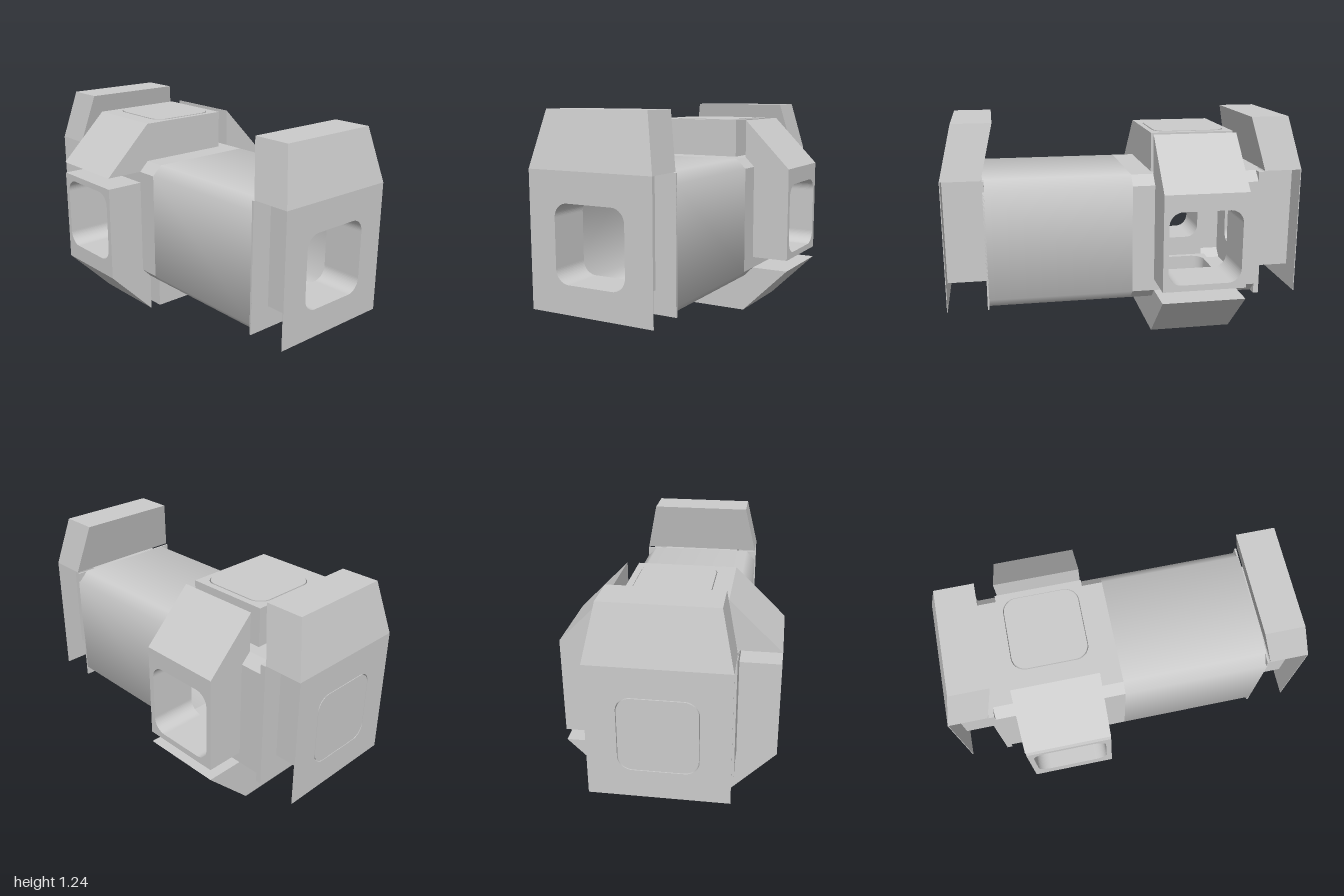
import * as THREE from 'three';

const R = 0.36;       // half width of the hull
const FLAT = 0.305;   // half width of each flat side between the chamfers
const OUT = 0.577;    // distance from the axis to a side port face
const PORT_X = -0.39; // centre of the four side ports
const HUB = [-0.75, -0.03];

const grey = new THREE.MeshStandardMaterial({ color: 0xcccccc, side: THREE.DoubleSide });

function add(parent, name, geometry) {
  const mesh = new THREE.Mesh(geometry, grey);
  mesh.name = name;
  parent.add(mesh);
  return mesh;
}

// Rounded square outline, used for hatch openings and hatch panels
function roundedSquare(path, cx, h = 0.205, r = 0.075) {
  path.moveTo(cx - h + r, -h);
  path.lineTo(cx + h - r, -h);
  path.absarc(cx + h - r, -h + r, r, -Math.PI / 2, 0);
  path.lineTo(cx + h, h - r);
  path.absarc(cx + h - r, h - r, r, 0, Math.PI / 2);
  path.lineTo(cx - h + r, h);
  path.absarc(cx - h + r, h - r, r, Math.PI / 2, Math.PI);
  path.lineTo(cx - h, -h + r);
  path.absarc(cx - h + r, -h + r, r, Math.PI, Math.PI * 1.5);
  path.closePath();
  return path;
}

function extrude(shape, z0, z1) {
  const g = new THREE.ExtrudeGeometry(shape, { depth: z1 - z0, bevelEnabled: false, curveSegments: 8 });
  return g.translate(0, 0, z0);
}

// Rectangular slab with a hatch opening through it
function framed(x0, x1, y0, y1, z0, z1, holeX) {
  const s = new THREE.Shape([[x0, y0], [x1, y0], [x1, y1], [x0, y1]].map(p => new THREE.Vector2(...p)));
  s.holes.push(roundedSquare(new THREE.Path(), holeX));
  return extrude(s, z0, z1);
}

function hatchPanel(cx, z0, z1) {
  return extrude(roundedSquare(new THREE.Shape(), cx, 0.201), z0, z1);
}

// Smooth hull: eight-sided tube squared off to flats and narrow chamfers
function hullTube(x0, x1) {
  const g = new THREE.CylinderGeometry(1, 1, x1 - x0, 8, 1, true, Math.PI / 8);
  const p = g.attributes.position;
  const square = v => Math.sign(v) * (Math.abs(v) > 0.7 ? R : FLAT);
  for (let i = 0; i < p.count; i++) p.setXYZ(i, square(p.getX(i)), p.getY(i), square(p.getZ(i)));
  return g.rotateZ(-Math.PI / 2).translate((x0 + x1) / 2, 0, 0);
}

// One side of the hub with its port, built facing +z
function sidePort(closed) {
  const side = new THREE.Group();
  const x0 = PORT_X - 0.235, x1 = PORT_X + 0.235;
  add(side, 'hubWall', framed(HUB[0], HUB[1], -FLAT, FLAT, R - 0.004, R, PORT_X));

  const chamfer = add(side, 'hubChamfer', new THREE.PlaneGeometry(HUB[1] - HUB[0], (R - FLAT) * Math.SQRT2));
  chamfer.position.set((HUB[0] + HUB[1]) / 2, -(R + FLAT) / 2, (R + FLAT) / 2);
  chamfer.rotation.x = Math.PI / 4;

  add(side, 'portCollar', framed(x0, x1, -0.3, 0.24, FLAT, OUT, PORT_X));

  // Sloping fairing towards the next port
  const profile = new THREE.Shape([[-OUT, -0.3], [-FLAT, -0.3], [-FLAT, -OUT]].map(p => new THREE.Vector2(...p)));
  const fairing = extrude(profile, x0, x1).rotateY(Math.PI / 2);
  add(side, 'portFairing', fairing);

  if (closed) add(side, 'portHatch', hatchPanel(PORT_X, OUT - 0.03, OUT + 0.003));
  return side;
}

// End of the module, built facing +z: flange, collar, outer plate and hood
function endDock(flangeDepth, closed) {
  const end = new THREE.Group();
  add(end, 'endFlange', framed(-R, R, -R, R, 0.78 - flangeDepth, 0.78, 0));
  add(end, 'endCollar', framed(-0.24, 0.24, -0.235, R, 0.78, 0.996, 0));
  add(end, 'endPlate', framed(-R, R, -R, 0.365, 0.996, 1, 0));

  // Hood leaning inwards and narrowing to the top
  const hood = new THREE.BoxGeometry(2 * R, 0.295, 0.215).translate(0, 0.5125, 0.8925);
  const p = hood.attributes.position;
  for (let i = 0; i < p.count; i++) {
    if (p.getY(i) > 0.5) {
      p.setX(i, p.getX(i) * 0.82);
      p.setZ(i, p.getZ(i) - 0.07);
    }
  }
  hood.computeVertexNormals();
  add(end, 'endHood', hood);

  if (closed) add(end, 'endHatch', hatchPanel(0, 0.97, 1));
  return end;
}

export function createModel() {
  const model = new THREE.Group();
  model.name = 'stationModule';
  model.position.y = 0.58;
  const body = new THREE.Group();
  body.name = 'body';
  body.position.y = 0.58;

  add(body, 'hull', hullTube(HUB[1], 0.78));

  // Front, bottom, back and top ports; bottom and top are shut
  ['front', 'bottom', 'back', 'top'].forEach((name, k) => {
    const side = sidePort(k % 2 === 1);
    side.name = name + 'Port';
    side.rotation.x = k * Math.PI / 2;
    body.add(side);
  });

  const leftEnd = endDock(0.01, false);
  leftEnd.name = 'leftEnd';
  leftEnd.rotation.y = Math.PI / 2;
  const rightEnd = endDock(0.03, true);
  rightEnd.name = 'rightEnd';
  rightEnd.rotation.y = -Math.PI / 2;
  body.add(leftEnd, rightEnd);

  model.position.y = 0;
  model.add(body);
  return model;
}
